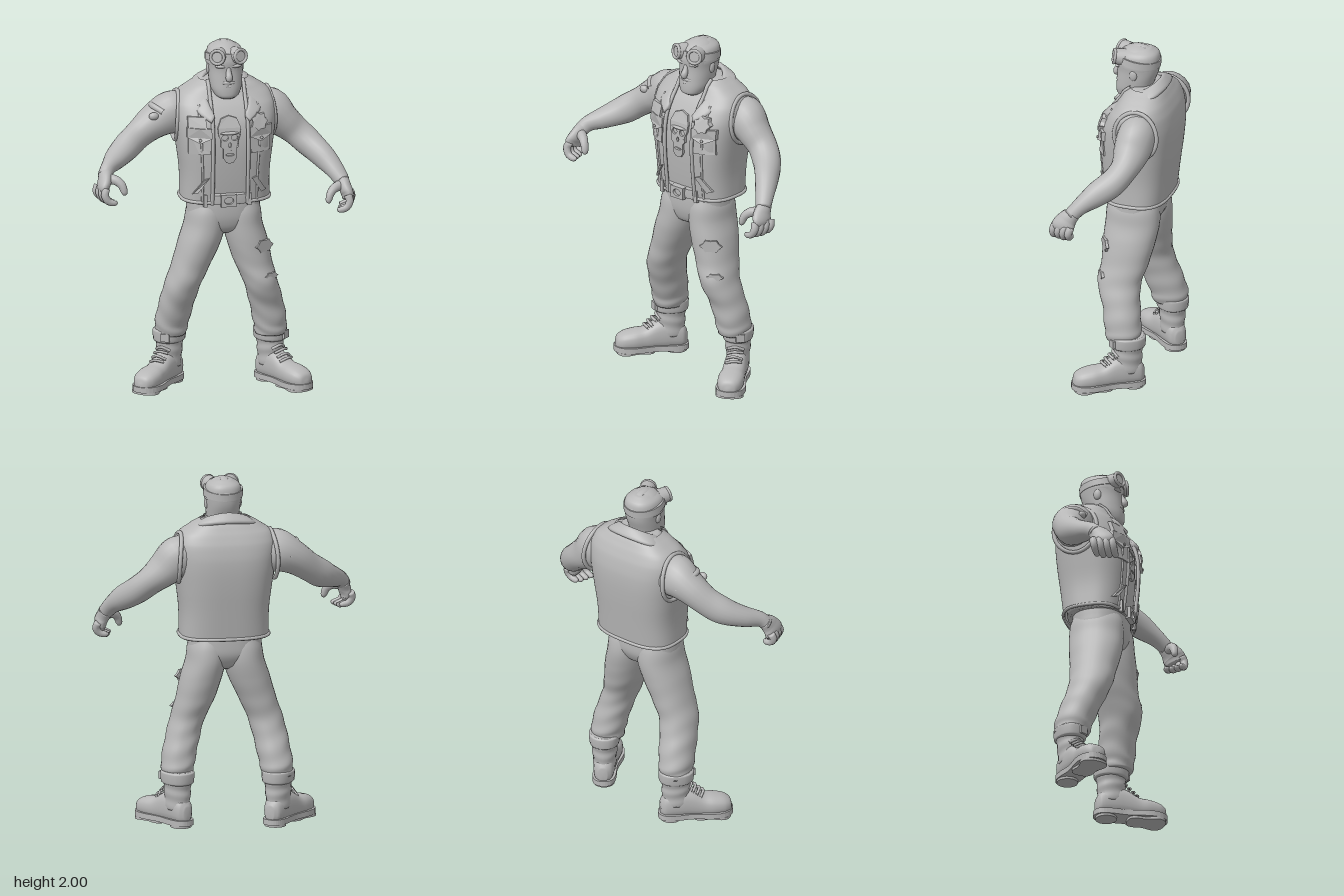
import * as THREE from 'three';

const V = (x, y, z) => new THREE.Vector3(x, y, z);
const X = 0.04; // the torso and head stand slightly off centre

// closed skin over equal rings, running along the ring normal, capped at both ends
function skin(rings) {
  const n = rings[0].length, m = rings.length, pos = [], idx = [];
  rings.flat().forEach(p => pos.push(p.x, p.y, p.z));
  for (let i = 0; i < m - 1; i++) for (let j = 0; j < n; j++) {
    const a = i * n + j, b = i * n + (j + 1) % n;
    idx.push(a, b, b + n, a, b + n, a + n);
  }
  [0, m - 1].forEach((r, e) => {
    const c = rings[r].reduce((s, p) => s.add(p), V(0, 0, 0)).divideScalar(n);
    const k = pos.length / 3;
    pos.push(c.x, c.y, c.z);
    for (let j = 0; j < n; j++) {
      const a = r * n + j, b = r * n + (j + 1) % n;
      idx.push(...(e ? [a, b, k] : [b, a, k]));
    }
  });
  return finish(pos, idx);
}
function finish(pos, idx) {
  const g = new THREE.BufferGeometry();
  g.setAttribute('position', new THREE.Float32BufferAttribute(pos, 3));
  g.setIndex(idx);
  g.computeVertexNormals();
  return g;
}

const spow = (v, p) => Math.sign(v) * Math.pow(Math.abs(v), p);

// smooth loft through [x, y, z, radius, radius2] stations
function limb(pts, { axis, ref = V(0, 0, 1), seg = 20, steps = 24, n = 2, fold } = {}) {
  const path = new THREE.CatmullRomCurve3(pts.map(p => V(p[0], p[1], p[2])));
  const radii = new THREE.CatmullRomCurve3(pts.map(p => V(p[3], p[4] ?? p[3], 0)), false, 'catmullrom', 0.5);
  const rings = [];
  for (let i = 0; i <= steps; i++) {
    const t = i / steps, c = path.getPoint(t), r = radii.getPoint(t);
    const T = axis ?? path.getTangent(t);
    const U = T.clone().cross(ref).normalize(), W = T.clone().cross(U).normalize();
    rings.push(Array.from({ length: seg }, (_, j) => {
      const a = j / seg * Math.PI * 2, f = fold ? 1 + fold(t, a) : 1;
      return c.clone().addScaledVector(U, r.x * f * spow(Math.cos(a), 2 / n))
        .addScaledVector(W, r.y * f * spow(Math.sin(a), 2 / n));
    }));
  }
  return skin(rings);
}
const UP = V(0, 1, 0), DOWN = V(0, -1, 0);
const cord = (pts, r, closed = false) =>
  new THREE.TubeGeometry(new THREE.CatmullRomCurve3(pts, closed), pts.length * 5, r, 8, closed);
const ball = (x, y, z, a, b, c) => new THREE.SphereGeometry(1, 20, 14).scale(a, b, c).translate(x, y, z);

// torso stations: height, half width, half depth, depth centre
const ROWS = [[1.09, .25, .175, -.055], [1.25, .25, .195, -.055], [1.42, .27, .21, -.06], [1.55, .285, .205, -.07],
  [1.64, .285, .175, -.085], [1.7, .255, .14, -.095], [1.745, .19, .115, -.095], [1.775, .14, .09, -.1]];
const rowCurve = new THREE.CatmullRomCurve3(ROWS.map(r => V(r[1], r[2], r[3])), false, 'catmullrom', 0.5);
function rowAt(t) {
  const k = t * (ROWS.length - 1), i = Math.min(ROWS.length - 2, Math.floor(k)), p = rowCurve.getPoint(t);
  return { y: ROWS[i][0] + (ROWS[i + 1][0] - ROWS[i][0]) * (k - i), rx: p.x, rz: p.y, cz: p.z };
}
const N = 2.9;
function chestZ(x, y) {
  let i = 0;
  while (i < ROWS.length - 2 && ROWS[i + 1][0] < y) i++;
  const r = rowAt((i + (y - ROWS[i][0]) / (ROWS[i + 1][0] - ROWS[i][0])) / (ROWS.length - 1));
  const u = Math.min(.98, Math.abs(x - X) / r.rx);
  return r.cz + r.rz * Math.pow(1 - Math.pow(u, N), 1 / N);
}
function vestPoint(t, u) { // u from 0 to 1 runs round from one front edge to the other
  const r = rowAt(t), gap = Math.min(.1, r.rx * .8);
  const g = Math.asin(Math.pow(gap / r.rx, N / 2)), a = g + u * (Math.PI * 2 - 2 * g);
  return V(X + r.rx * spow(Math.sin(a), 2 / N), r.y, r.cz + r.rz * spow(Math.cos(a), 2 / N));
}
function vestSheet() {
  const R = 28, C = 64, pos = [], idx = [];
  for (let i = 0; i <= R; i++) for (let j = 0; j <= C; j++) pos.push(...vestPoint(i / R, j / C).toArray());
  for (let i = 0; i < R; i++) for (let j = 0; j < C; j++) {
    const a = i * (C + 1) + j, b = a + C + 1;
    idx.push(a, a + 1, b + 1, a, b + 1, b);
  }
  return finish(pos, idx);
}
// flat outline bent onto the chest
function patch(points, cx, cy, depth, holes = [], lift = 0) {
  const s = new THREE.Shape(points.map(p => new THREE.Vector2(p[0], p[1])));
  s.holes.push(...holes);
  const g = new THREE.ExtrudeGeometry(s, { depth: depth + .025, bevelEnabled: false }).translate(cx, cy, -.025);
  const p = g.attributes.position;
  for (let i = 0; i < p.count; i++) p.setZ(i, p.getZ(i) + chestZ(p.getX(i), p.getY(i)) + lift);
  g.computeVertexNormals();
  return g;
}
const jagged = (n, a, b) => Array.from({ length: n * 2 }, (_, i) => {
  const t = i / n * Math.PI, r = i % 2 ? .78 : 1;
  return [Math.cos(t) * a * r, Math.sin(t) * b * r];
});
const oval = (x, y, a, b) => new THREE.Path().absellipse(x, y, a, b, 0, Math.PI * 2, true);

export function createModel() {
  const root = new THREE.Group();
  const grey = new THREE.MeshStandardMaterial({ color: 0xb8b8b8, side: THREE.DoubleSide });
  grey.name = 'clay grey';
  const add = (name, geo, parent = root) => {
    const m = new THREE.Mesh(geo, grey);
    m.name = name;
    parent.add(m);
    return m;
  };

  // head, face and cap
  add('head', limb([[X, 1.685, .02, .04, .045], [X, 1.7, .012, .064, .075], [X, 1.74, -.01, .086, .1], [X, 1.79, -.022, .093, .108],
    [X, 1.85, -.035, .097, .117], [X, 1.91, -.037, .102, .122], [X, 1.96, -.045, .09, .105], [X, 1.99, -.055, .04, .05]],
  { axis: UP, n: 2.3, seg: 32, steps: 32 }));
  add('neck', limb([[X, 1.58, -.07, .1], [X, 1.68, -.05, .085], [X, 1.78, -.04, .08]], { axis: UP }));
  add('nose', limb([[X, 1.875, .07, .012], [X, 1.84, .082, .016], [X, 1.812, .095, .02], [X, 1.798, .085, .012]], { seg: 12, steps: 10 }));
  add('moustache', ball(X, 1.783, .072, .045, .014, .018));
  add('lowerLip', ball(X, 1.762, .078, .028, .008, .012));
  add('chin', ball(X, 1.725, .05, .055, .035, .036));
  add('cap', new THREE.SphereGeometry(1, 32, 12, 0, Math.PI * 2, 0, Math.PI * .55).scale(.108, .105, .124).translate(X, 1.893, -.04));
  add('capRidge', limb([[X, 1.95, .05, .02, .008], [X, 1.988, -.02, .022, .01], [X, 1.983, -.09, .022, .01], [X, 1.92, -.155, .02, .008]], { ref: V(0, 1, .01) }));
  const strap = add('goggleStrap', new THREE.CylinderGeometry(.11, .112, .04, 32));
  strap.scale.z = 1.13;
  strap.position.set(X, 1.915, -.04);
  strap.rotation.x = -.12;
  for (const s of [-1, 1]) {
    add('ear', ball(X + s * .095, 1.845, -.035, .012, .032, .022));
    add('brow', ball(X + s * .038, 1.878, .066, .038, .012, .02));
    add('eye', ball(X + s * .038, 1.857, .064, .016, .008, .01));
    const goggle = new THREE.Group();
    goggle.name = 'goggleEye';
    goggle.position.set(X + s * .055, 1.932, .058);
    goggle.rotation.set(-.15, s * .4, 0);
    add('goggleCup', new THREE.CylinderGeometry(.042, .05, .06, 20).rotateX(Math.PI / 2), goggle);
    add('goggleRim', new THREE.TorusGeometry(.038, .009, 8, 24).translate(0, 0, .03), goggle);
    root.add(goggle);
  }

  // shirt with a raised skull
  add('shirt', limb(ROWS.map(([y, rx, rz, cz]) => [X, y, cz, rx - .02, rz - .02]), { axis: UP, n: N, seg: 48, steps: 30 }));
  const half = [[0, .14], [.045, .125], [.066, .075], [.062, .03], [.05, .005], [.052, -.03], [.036, -.045], [.036, -.1], [.02, -.125], [0, -.128]];
  const outline = [...half, ...half.slice(1, -1).reverse().map(([x, y]) => [-x, y])].reverse();
  add('shirtSkull', patch(outline, X - .005, 1.46, .012,
    [oval(.027, .02, .018, .017), oval(-.027, .02, .018, .017), oval(0, -.022, .008, .014), oval(0, -.078, .024, .007)], -.018));
  add('skullBrow', ball(X - .005, 1.505, .132, .056, .01, .016));
  add('shirtNeckline', cord([-.09, -.05, 0, .05, .09].map((x, i) => V(X + x, [1.67, 1.63, 1.61, 1.63, 1.67][i], [.03, .055, .068, .055, .03][i])), .01));

  // open vest and its hems
  add('vest', vestSheet());
  const edge = (u, n) => Array.from({ length: n }, (_, i) => vestPoint(i / 13, u));
  for (const u of [0, 1]) add('vestFrontEdge', cord(edge(u, 14), .011));
  for (const u of [.045, .955]) add('vestSeam', cord(edge(u, 9), .007));
  add('vestHem', cord(Array.from({ length: 32 }, (_, i) => vestPoint(.01, i / 31)), .01));
  for (const s of [-1, 1]) {
    add('armholeTrim', cord(Array.from({ length: 16 }, (_, i) => {
      const a = i / 16 * Math.PI * 2;
      return V(X + s * (.264 + .014 * Math.cos(a) ** 2 - .008 * Math.sin(a)), 1.56 + .14 * Math.sin(a), -.11 + .125 * Math.cos(a));
    }), .012, true));
    add('chestPocket', patch([[-.058, .02], [-.058, -.11], [0, -.11], [.058, -.11], [.058, .02]], X + s * .175, 1.5, .01));
    add('pocketFlap', patch([[-.066, .04], [-.066, -.015], [0, -.045], [.066, -.015], [.066, .04], [0, .04]], X + s * .175, 1.5, .022));
    add('pocketButton', ball(X + s * .175, 1.475, chestZ(X + s * .175, 1.475) + .022, .009, .009, .006));
    const k = s * .03;
    add('sidePocket', patch([[k - .014, -.05], [k + .014, -.04], [.014 - k, .05], [-.014 - k, .04]], X + s * .165, 1.2, .015));
  }
  add('vestPatch', patch([[-.05, .03], [-.05, -.028], [.05, -.03], [.045, .032]], X - .185, 1.57, .022));
  add('vestBadge', patch(jagged(7, .05, .05), X + .165, 1.565, .028));

  // folded collar: upper edge and lower edge of the right half, then mirrored
  const hi = [[.085, 1.6, .12], [.108, 1.66, .07], [.12, 1.725, -.02], [.095, 1.785, -.125]];
  const lo = [[.11, 1.57, .14], [.178, 1.62, .08], [.185, 1.69, -.05], [.15, 1.75, -.175]];
  const both = (h, mid) => new THREE.CatmullRomCurve3([...h.map(p => V(X - p[0], p[1], p[2])), V(X, ...mid),
    ...h.slice().reverse().map(p => V(X + p[0], p[1], p[2]))]);
  const top = both(hi, [1.815, -.165]), low = both(lo, [1.765, -.21]);
  add('collar', skin(Array.from({ length: 41 }, (_, i) => {
    const t = i / 40, P = top.getPoint(t), Q = low.getPoint(t), c = P.clone().add(Q).multiplyScalar(.5);
    const A = P.clone().sub(Q).multiplyScalar(.5), B = top.getTangent(t).cross(A).normalize().multiplyScalar(.015);
    return Array.from({ length: 16 }, (_, j) => {
      const a = j / 8 * Math.PI;
      return c.clone().addScaledVector(A, spow(Math.cos(a), .7)).addScaledVector(B, spow(Math.sin(a), .7));
    });
  })));

  // arms
  const muscle = (t, a) => .05 * Math.sin(t * 16) * Math.cos(a * 2 + 1);
  add('leftArm', limb([[.24, 1.585, -.11, .1], [.31, 1.56, -.115, .12, .112], [.385, 1.495, -.11, .1, .098], [.46, 1.43, -.095, .08, .082],
    [.53, 1.365, -.05, .076, .078], [.595, 1.305, .03, .068, .066], [.645, 1.245, .105, .05, .05], [.675, 1.195, .15, .042]], { fold: muscle, steps: 36 }));
  add('rightArm', limb([[-.17, 1.59, -.11, .1], [-.25, 1.575, -.115, .12, .112], [-.345, 1.53, -.11, .1, .095], [-.44, 1.465, -.085, .08, .078],
    [-.52, 1.41, -.035, .078, .074], [-.6, 1.365, .045, .062, .06], [-.655, 1.335, .115, .043], [-.68, 1.3, .15, .04]], { fold: muscle, steps: 36 }));
  add('armBandage', cord([V(-.31, 1.6, -.025), V(-.36, 1.625, -.08), V(-.355, 1.61, -.15), V(-.31, 1.55, -.205)], .018));
  add('bandageKnot', ball(-.365, 1.58, -.03, .028, .022, .02));

  // hands: palm, four curled fingers and a thumb
  for (const [s, dy] of [[1, 0], [-1, .11]]) {
    const hand = new THREE.Group();
    hand.name = s > 0 ? 'leftHand' : 'rightHand';
    root.add(hand);
    const P = (x, y, z, r, q) => [s * x, y + dy, z, r, q];
    add('palm', limb([P(.672, 1.21, .13, .038), P(.682, 1.175, .165, .037, .056), P(.694, 1.135, .188, .034, .066), P(.69, 1.105, .198, .022, .055)]), hand);
    for (let i = 0; i < 4; i++) {
      const x = .687 + i * .01, z = .246 - i * .033, k = i === 3 ? .8 : 1;
      add('finger', limb([P(x, 1.14, z - .01, .022), P(x + .01, 1.108, z, .022), P(x - .008, 1.105 - .034 * k, z + .004, .02),
        P(x - .045, 1.105 - .046 * k, z + .002, .017), P(x - .06, 1.105 - .04 * k, z, .007)], { seg: 10, steps: 12 }), hand);
    }
    add('thumb', limb([P(.67, 1.18, .165, .032), P(.625, 1.175, .195, .027), P(.595, 1.15, .215, .023), P(.582, 1.108, .225, .018), P(.584, 1.095, .225, .007)],
      { seg: 12, steps: 14 }), hand);
  }

  // jeans and belt
  add('jeansSeat', limb([[.03, 1.15, -.035, .2, .15], [.03, 1.06, -.035, .206, .154], [.03, .99, -.035, .2, .148], [.03, .93, -.03, .13, .12], [.03, .9, -.03, .05, .07]],
    { axis: DOWN, n: 2.4, seg: 36 }));
  add('belt', limb([[.03, 1.145, -.035, .205, .155], [.03, 1.143, -.035, .215, .165], [.03, 1.09, -.035, .217, .165], [.03, 1.088, -.035, .205, .155]],
    { axis: DOWN, n: 2.4, seg: 36 }));
  const bx = new THREE.Shape([[-.045, -.035], [.045, -.035], [.045, .035], [-.045, .035]].map(p => new THREE.Vector2(...p)));
  bx.holes.push(oval(0, 0, .026, .02));
  add('beltBuckle', new THREE.ExtrudeGeometry(bx, { depth: .03, bevelEnabled: false }).translate(.03, 1.115, .117));
  for (const x of [-.1, .15]) add('beltLoop', new THREE.BoxGeometry(.022, .07, .02).translate(x, 1.115, .117));
  const wrinkle = (t, a) => .05 * Math.max(0, t - .35) * Math.sin(t * 50 + 2.2 * Math.sin(a + 1) + Math.cos(a * 2));
  add('leftLeg', limb([[.125, 1.1, -.035, .09, .13], [.13, 1.03, -.035, .109, .15], [.138, .95, -.035, .111, .155], [.162, .85, -.025, .115, .15],
    [.195, .72, -.01, .107, .135], [.235, .6, .012, .096, .124], [.27, .48, -.012, .096, .106], [.295, .36, -.03, .094, .104], [.3, .29, -.035, .085, .096]],
  { axis: DOWN, fold: wrinkle, seg: 32, steps: 64, n: 2.15 }));
  add('rightLeg', limb([[-.06, 1.1, -.035, .09, .13], [-.066, 1.03, -.035, .11, .15], [-.075, .95, -.035, .115, .155], [-.105, .85, -.03, .118, .15],
    [-.153, .72, -.03, .107, .133], [-.2, .6, -.035, .1, .122], [-.227, .48, -.075, .097, .115], [-.246, .36, -.115, .094, .108], [-.252, .29, -.125, .085, .098]],
  { axis: DOWN, fold: wrinkle, seg: 32, steps: 64, n: 2.15 }));
  for (const [x, y, z, a, b] of [[.235, .83, .088, .065, .04], [.272, .655, .098, .05, .022]]) {
    const shape = new THREE.Shape(jagged(6, a, b).map(p => new THREE.Vector2(...p)));
    add('jeansTear', new THREE.ExtrudeGeometry(shape, { depth: .016, bevelEnabled: false }).rotateY(.55).translate(x, y, z));
  }

  // boots, built along +z from the heel and turned outwards
  for (const [name, x, z, turn] of [['leftBoot', .258, -.14, .53], ['rightBoot', -.196, -.2, -.74]]) {
    const boot = new THREE.Group();
    boot.name = name;
    boot.position.set(x, 0, z);
    boot.rotation.y = turn;
    root.add(boot);
    add('bootFoot', limb([[0, .08, 0, .025, .04], [0, .09, .025, .052, .07], [0, .105, .1, .062, .09], [0, .1, .17, .064, .085], [0, .08, .24, .067, .065],
      [0, .075, .3, .074, .06], [0, .068, .36, .066, .052], [0, .06, .395, .042, .036], [0, .05, .405, .01, .012]],
    { axis: V(0, 0, 1), ref: UP, n: 2.4, seg: 24, steps: 36 }), boot);
    add('bootShaft', limb([[0, .1, .095, .062, .085], [0, .18, .09, .068, .08], [0, .25, .09, .075, .085], [0, .31, .09, .078, .088]],
      { axis: UP, fold: (t, a) => .03 * Math.sin(t * 20 + Math.sin(a)) }), boot);
    const sole = new THREE.Shape();
    sole.moveTo(0, .012).bezierCurveTo(.07, .012, .07, -.06, .062, -.15);
    sole.bezierCurveTo(.06, -.22, .09, -.27, .082, -.33).bezierCurveTo(.07, -.44, -.07, -.44, -.082, -.33);
    sole.bezierCurveTo(-.09, -.27, -.06, -.22, -.062, -.15).bezierCurveTo(-.07, -.06, -.07, .012, 0, .012);
    const slab = depth => new THREE.ExtrudeGeometry(sole, { depth, bevelEnabled: false }).rotateX(-Math.PI / 2).rotateY(0);
    add('sole', slab(.032).translate(0, .014, 0), boot);
    add('soleTread', slab(.014).scale(.95, 1, .52).translate(0, 0, .185), boot);
    add('bootHeel', new THREE.CylinderGeometry(.062, .06, .03, 20).translate(0, .015, .06), boot);
    add('ankleStrap', limb([[0, .245, .09, .072, .085], [0, .255, .09, .083, .097], [0, .31, .09, .088, .1], [0, .32, .09, .078, .09]], { axis: UP, n: 2.2 }), boot);
    add('strapBuckle', new THREE.BoxGeometry(.05, .045, .02).rotateY(.3).translate(.03, .283, .184), boot);
    for (let i = 0; i < 4; i++) {
      const y = .215 - i * .02, lz = .165 + i * .022;
      add('lace', cord([V(-.045, y - .012, lz - .01), V(0, y + .008, lz + .012), V(.045, y - .012 + (i % 2) * .01, lz - .01)], .008), boot);
    }
  }
  return root;
}
